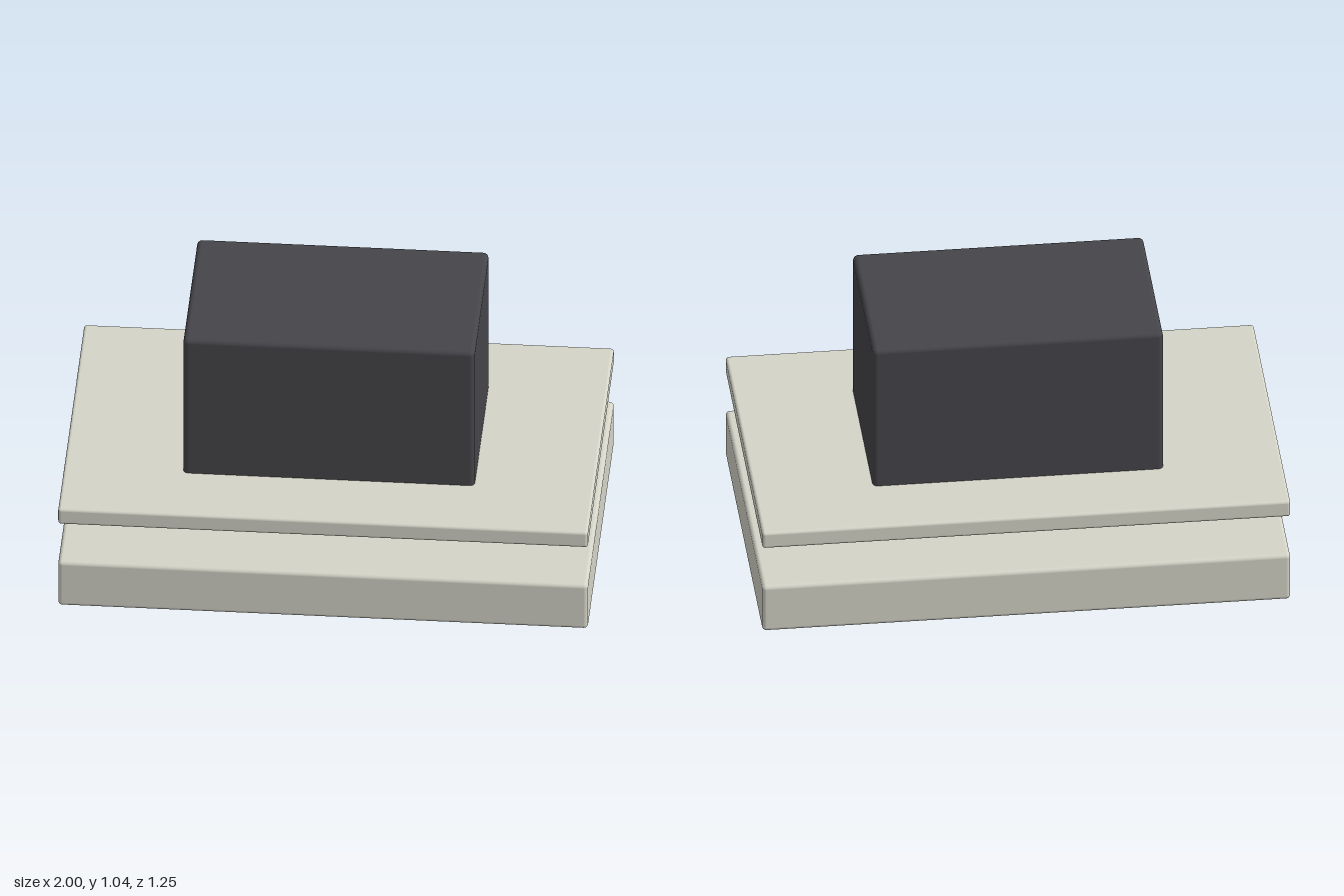
import * as THREE from 'three';
import { RoundedBoxGeometry } from 'three/addons/geometries/RoundedBoxGeometry.js';

export function createModel() {
  const group = new THREE.Group();

  const paleStone = new THREE.MeshStandardMaterial({ color: 0xd4d4c8 });
  paleStone.name = 'paleStone';
  const charcoal = new THREE.MeshStandardMaterial({ color: 0x454449 });
  charcoal.name = 'charcoal';

  // Softly rounded slab resting at height y0 and reaching y1
  function slab(name, width, depth, y0, y1, radius, material) {
    const geometry = new RoundedBoxGeometry(width, y1 - y0, depth, 3, radius);
    const mesh = new THREE.Mesh(geometry, material);
    mesh.name = name;
    mesh.position.y = (y0 + y1) / 2;
    group.add(mesh);
  }

  // Thick bottom slab
  slab('base', 2, 1.245, 0, 0.2, 0.016, paleStone);
  // Thin plate floating above the base
  slab('plate', 2, 1.245, 0.37, 0.44, 0.012, paleStone);
  // Dark block passing through the plate, with a gap over the base
  slab('block', 1.1, 0.685, 0.22, 1.045, 0.02, charcoal);

  return group;
}
